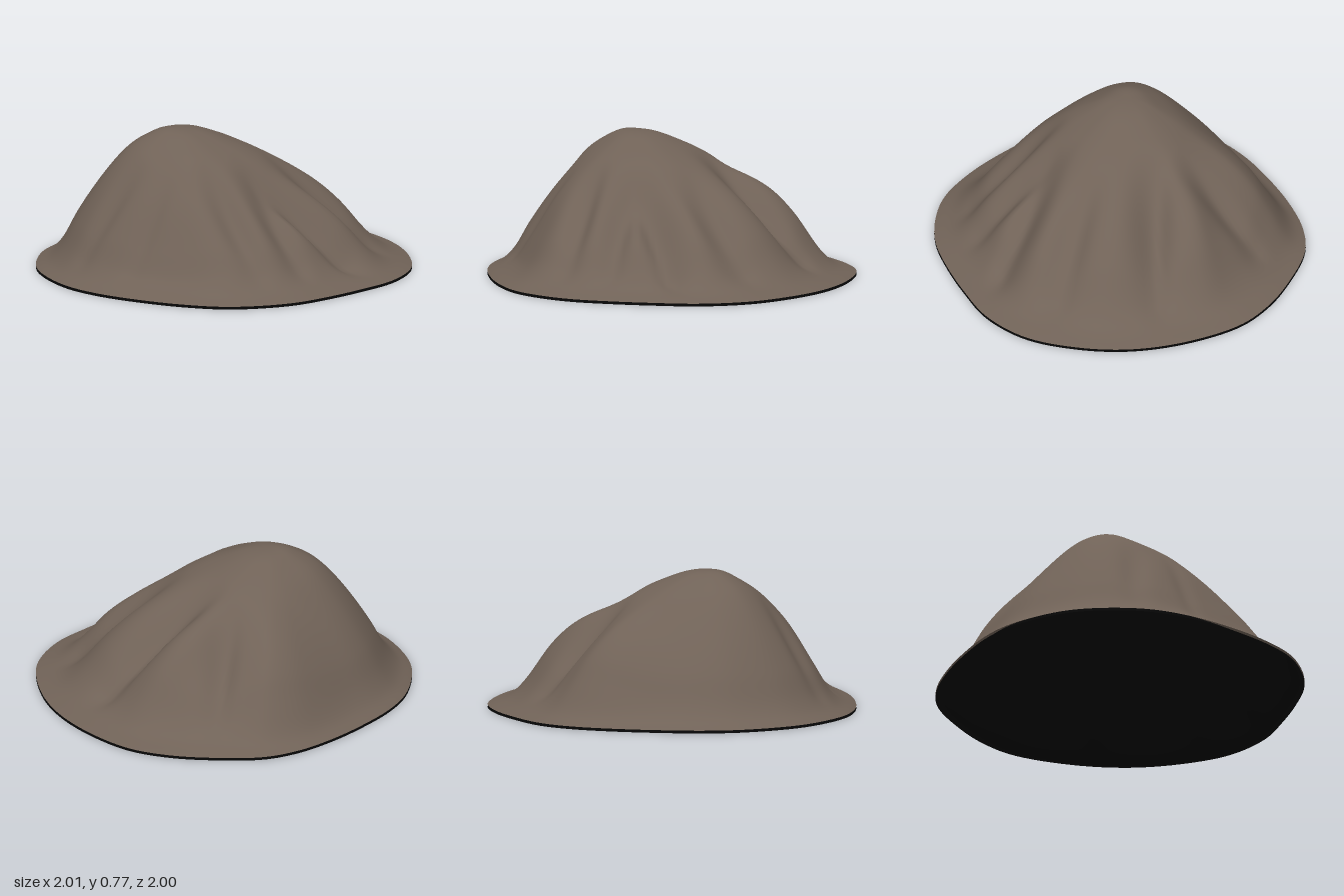
import * as THREE from 'three';

const RINGS = 64, SIDES = 160, THICKNESS = 0.012;
const PEAK = new THREE.Vector2(-0.25, 0);

// Outline of the foot, as x, z
const OUTLINE = [
  [1, 0.1], [0.95, 0.38], [0.8, 0.61], [0.6, 0.76], [0.4, 0.88], [0.2, 0.97], [0, 1], [-0.2, 0.98],
  [-0.4, 0.89], [-0.6, 0.75], [-0.8, 0.56], [-0.93, 0.36], [-1, 0.1], [-1, -0.1], [-0.91, -0.38],
  [-0.79, -0.55], [-0.6, -0.72], [-0.4, -0.86], [-0.2, -0.96], [0, -1], [0.28, -0.95], [0.5, -0.87],
  [0.69, -0.74], [0.88, -0.46], [0.98, -0.18],
];

// Slope from peak to foot: fraction of the way out, height
const SLOPE = [
  [0, 0.768], [0.1, 0.755], [0.2, 0.712], [0.33, 0.64], [0.46, 0.54], [0.6, 0.41],
  [0.72, 0.275], [0.82, 0.135], [0.9, 0.06], [1, 0.015],
];

// Gullies (negative) and ridges (positive): x0, z0, x1, z1, width on either side, height
const FOLDS = [
  // back gullies and the ridge between them
  [0.02, -0.3, 0.24, -0.88, 0.06, 0.1, -0.08],
  [0.02, -0.19, 0.88, -0.33, 0.07, 0.11, -0.11],
  [0.05, -0.33, 0.74, -0.6, 0.1, 0.12, 0.06],
  // front left gullies
  [0.18, 0.11, 0.95, 0.25, 0.07, 0.12, -0.07],
  [-0.04, 0.29, 0.78, 0.66, 0.09, 0.07, -0.1],
  [0.2, 0.22, 0.84, 0.46, 0.08, 0.08, 0.03],
  // front gullies
  [0.03, 0.3, 0.34, 0.84, 0.06, 0.09, -0.08],
  [-0.2, 0.3, 0.09, 0.92, 0.06, 0.09, -0.08],
  // front right hollows and grooves
  [-0.78, 0.33, -0.12, 0.86, 0.12, 0.12, -0.05],
  [-0.34, 0.34, -0.68, 0.6, 0.05, 0.05, -0.03],
  [-0.45, 0.18, -0.92, 0.29, 0.07, 0.07, -0.05],
  // broad swellings: back, left and the shoulder by the peak
  [-0.2, -0.33, 0, -1.1, 0.3, 0.12, 0.07],
  [0.05, -0.06, 1.15, 0.02, 0.12, 0.12, 0.03],
  [-0.8, -0.03, -0.24, -0.02, 0.2, 0.2, 0.03],
];

// Smooth reading of the slope profile
function slopeHeight(t) {
  const n = SLOPE.length - 1;
  let i = 0;
  while (i < n - 1 && t > SLOPE[i + 1][0]) i++;
  const tangent = (k) => {
    if (k === 0) return 0;
    const a = SLOPE[k - 1], b = SLOPE[Math.min(n, k + 1)];
    return (b[1] - a[1]) / (b[0] - a[0]);
  };
  const [x0, y0] = SLOPE[i], [x1, y1] = SLOPE[i + 1];
  const d = x1 - x0, s = (t - x0) / d, s2 = s * s, s3 = s2 * s;
  return (2 * s3 - 3 * s2 + 1) * y0 + (s3 - 2 * s2 + s) * d * tangent(i)
    + (3 * s2 - 2 * s3) * y1 + (s3 - s2) * d * tangent(i + 1);
}

// Sum of the folds at a point; each fades at its ends
function foldHeight(x, z) {
  let sum = 0;
  for (const [x0, z0, x1, z1, before, after, height] of FOLDS) {
    const dx = x1 - x0, dz = z1 - z0, len = Math.hypot(dx, dz);
    const u = ((x - x0) * dx + (z - z0) * dz) / (len * len);
    if (u <= 0 || u >= 1) continue;
    const v = ((z - z0) * dx - (x - x0) * dz) / len;
    sum += height * Math.sin(Math.PI * u) ** 1.6 * Math.exp(-((v / (v < 0 ? before : after)) ** 2));
  }
  return sum;
}

function moundGeometry() {
  const curve = new THREE.CatmullRomCurve3(
    OUTLINE.map(([x, z]) => new THREE.Vector3(x, 0, z)), true);
  const rim = Array.from({ length: SIDES }, (_, i) => curve.getPoint(i / SIDES));
  const positions = [PEAK.x, SLOPE[0][1], PEAK.y], index = [];

  // Rings spread from the peak to the outline
  for (let r = 1; r <= RINGS; r++) {
    const t = r / RINGS;
    const fade = 1 - THREE.MathUtils.smoothstep(t, 0.8, 0.98);
    for (const p of rim) {
      const x = THREE.MathUtils.lerp(PEAK.x, p.x, t);
      const z = THREE.MathUtils.lerp(PEAK.y, p.z, t);
      const lumps = 0.007 * Math.sin(9 * x + 4 * z) * Math.sin(8 * z - 3 * x) * t;
      const y = slopeHeight(t) + (foldHeight(x, z) + lumps) * fade;
      positions.push(x, Math.max(y, 0.015), z);
    }
  }

  // Cap at the peak, then bands between rings
  for (let i = 0; i < SIDES; i++) {
    const j = (i + 1) % SIDES;
    index.push(0, 1 + j, 1 + i);
    for (let r = 0; r < RINGS - 1; r++) {
      const a = 1 + r * SIDES + i, b = 1 + r * SIDES + j;
      index.push(a, b, b + SIDES, a, b + SIDES, a + SIDES);
    }
  }
  const geometry = new THREE.BufferGeometry();
  geometry.setAttribute('position', new THREE.Float32BufferAttribute(positions, 3));
  geometry.setIndex(index);
  geometry.computeVertexNormals();
  return geometry;
}

// Lining set in by the thickness and facing inward; its rim stays under the outline
function liningGeometry(outer) {
  const lining = outer.clone();
  const position = lining.attributes.position, normal = outer.attributes.normal;
  const rimStart = position.count - SIDES;
  for (let i = 0; i < position.count; i++) {
    const side = i < rimStart ? THICKNESS : 0;
    position.setXYZ(i,
      position.getX(i) - normal.getX(i) * side,
      i < rimStart ? Math.max(0, position.getY(i) - normal.getY(i) * side) : 0,
      position.getZ(i) - normal.getZ(i) * side);
  }
  lining.setIndex(Array.from(outer.index.array).reverse());
  lining.computeVertexNormals();
  return lining;
}

export function createModel() {
  const group = new THREE.Group();
  group.name = 'rockyMound';
  const earth = new THREE.MeshStandardMaterial({ color: 0x706257, side: THREE.DoubleSide });
  earth.name = 'earthBrown';
  const hollow = new THREE.MeshStandardMaterial({ color: 0x050505, side: THREE.DoubleSide });
  hollow.name = 'hollowBlack';

  const mound = new THREE.Mesh(moundGeometry(), earth);
  mound.name = 'mound';
  const underside = new THREE.Mesh(liningGeometry(mound.geometry), hollow);
  underside.name = 'underside';
  group.add(mound, underside);
  return group;
}
